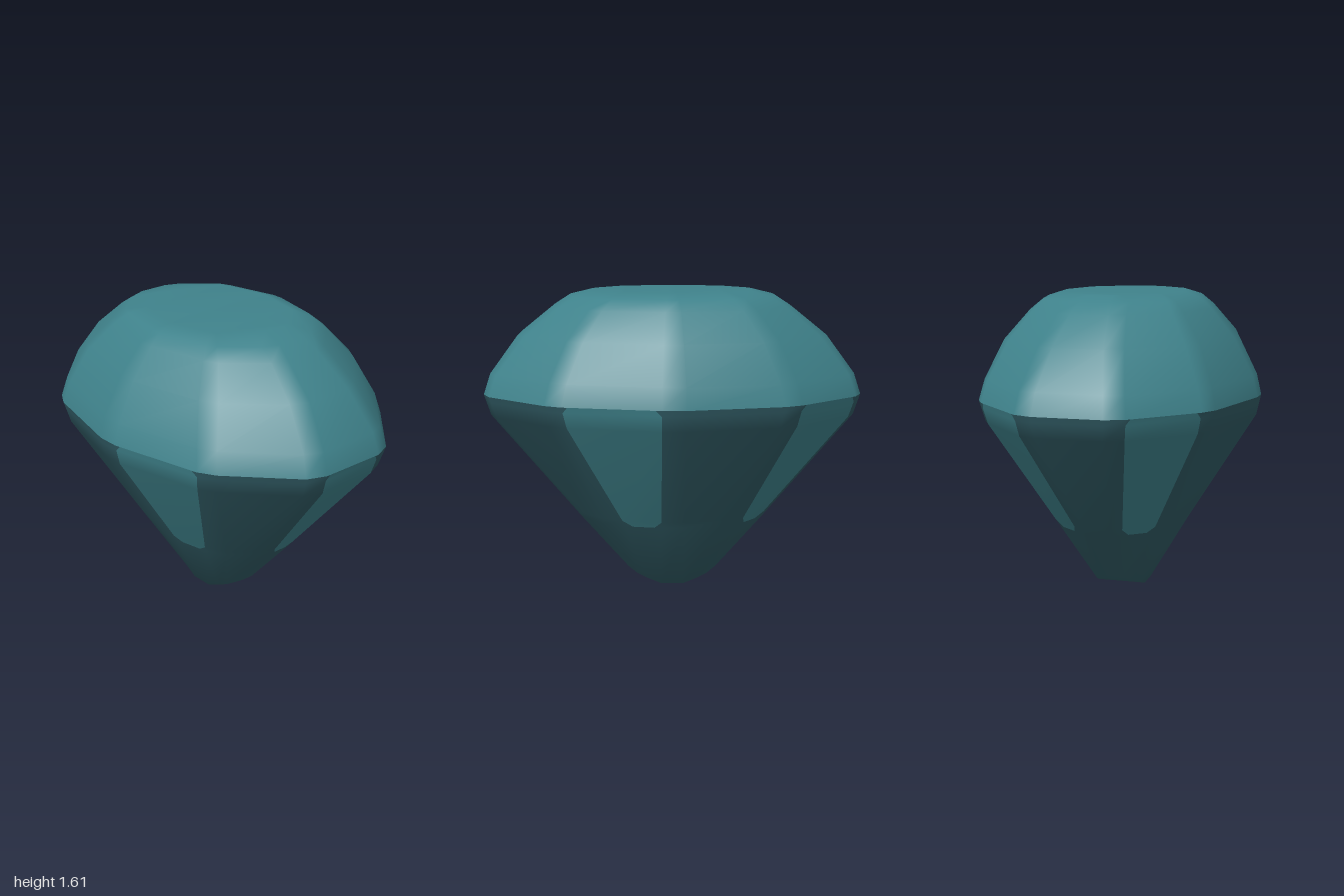
import * as THREE from 'three';

// A ring is one quarter outline, [x, z] (or [x, z, y]) from the front corner round to the side
const girdle = [[0.06, 0.74], [0.56, 0.625], [0.65, 0.575], [0.96, 0.28], [1, 0.18]];
const belt = [[0.06, 0.715], [0.535, 0.6], [0.625, 0.55], [0.925, 0.265], [0.965, 0.17]];
const panelEnd = [[0.06, 0.35], [0.25, 0.31], [0.36, 0.255], [0.47, 0.12], [0.5, 0.06]];
const tip = [[0.06, 0.13, 0], [0.14, 0.12, 0.03], [0.19, 0.1, 0.05], [0.24, 0.05, 0.075], [0.25, 0.03, 0.08]];

const blend = (a, b, t) => a.map((p, i) => [p[0] + (b[i][0] - p[0]) * t, p[1] + (b[i][1] - p[1]) * t]);

// Mirror a quarter outline into a closed ring of 20 points, from +x through +z
function ring(y, quarter) {
  const pts = quarter.map(([x, z, h = y]) => [x, h, z]);
  const back = [...pts].reverse();
  const flip = (list, sx, sz) => list.map(([x, h, z]) => [x * sx, h, z * sz]);
  return [...flip(back, 1, 1), ...flip(pts, -1, 1), ...flip(back, -1, -1), ...flip(pts, 1, -1)];
}

// Join rings (bottom to top); chamfers[row] cuts panel corners at that row's 'low' or 'high' edge
function facetGeometry(rings, { capTop, capBottom, isPanel = () => false, chamfers = {} }) {
  const N = 20;
  const pos = rings.flat();
  const body = [], panel = [];
  const quad = (list, a, b, c, d) => list.push(a, b, c, a, c, d);
  const between = (a, b, t) => pos.push(pos[a].map((v, k) => v + (pos[b][k] - v) * t)) - 1;

  for (let r = 0; r < rings.length - 1; r++) {
    for (let i = 0; i < N; i++) {
      const j = (i + 1) % N;
      const a = r * N + j, b = r * N + i, c = b + N, d = a + N;
      if (!isPanel(r, i)) quad(body, a, b, c, d);
      else if (chamfers[r] === 'low') {
        const e = between(a, b, 0.2), f = between(a, b, 0.8);
        quad(panel, e, f, c, d);
        body.push(a, e, d, f, b, c);
      } else if (chamfers[r] === 'high') {
        const e = between(d, c, 0.06), f = between(d, c, 0.94);
        quad(panel, a, b, f, e);
        body.push(a, e, d, b, c, f);
      } else quad(panel, a, b, c, d);
    }
  }
  const top = (rings.length - 1) * N;
  for (let i = 0; i < 9; i++) {
    if (capBottom) quad(body, i, i + 1, 18 - i, 19 - i);
    if (capTop) quad(body, top + 19 - i, top + 18 - i, top + i + 1, top + i);
  }

  const geo = new THREE.BufferGeometry();
  geo.setAttribute('position', new THREE.Float32BufferAttribute(pos.flat(), 3));
  geo.setIndex([...body, ...panel]);
  geo.addGroup(0, body.length, 0);
  geo.addGroup(body.length, panel.length, 1);
  geo.computeVertexNormals(); // area weighting keeps the big facets flat and the bevels soft
  return geo;
}

export function createModel() {
  const teal = new THREE.MeshStandardMaterial({ color: 0x3f828b });
  teal.name = 'teal';
  const darkTeal = new THREE.MeshStandardMaterial({ color: 0x305a63 });
  darkTeal.name = 'dark teal';

  const gem = new THREE.Group();
  gem.name = 'gem';

  // Domed upper half with a flat table
  const crown = new THREE.Mesh(facetGeometry([
    ring(1.06, girdle),
    ring(1.17, belt),
    ring(1.37, [[0.05, 0.61], [0.455, 0.52], [0.54, 0.465], [0.775, 0.22], [0.82, 0.13]]),
    ring(1.52, [[0.04, 0.485], [0.36, 0.41], [0.43, 0.37], [0.6, 0.18], [0.635, 0.1]]),
    ring(1.575, [[0.03, 0.42], [0.31, 0.355], [0.37, 0.33], [0.515, 0.17], [0.55, 0.08]]),
    ring(1.605, [[0.02, 0.325], [0.25, 0.275], [0.28, 0.262], [0.41, 0.11], [0.43, 0.06]]),
  ], { capTop: true }), [teal, teal]);
  crown.name = 'crown';
  gem.add(crown);

  // Tapered lower half; every other facet carries a light panel above y = 0.37
  const pavilion = new THREE.Mesh(facetGeometry([
    ring(0, tip),
    ring(0.37, panelEnd),
    ring(0.405, blend(panelEnd, belt, 0.06)),
    ring(0.95, belt),
    ring(1.03, blend(belt, girdle, 0.73)),
    ring(1.06, girdle),
  ], {
    capBottom: true,
    isPanel: (row, i) => row > 0 && i % 4 === 3,
    chamfers: { 1: 'low', 4: 'high' },
  }), [darkTeal, teal]);
  pavilion.name = 'pavilion';
  gem.add(pavilion);

  return gem;
}
